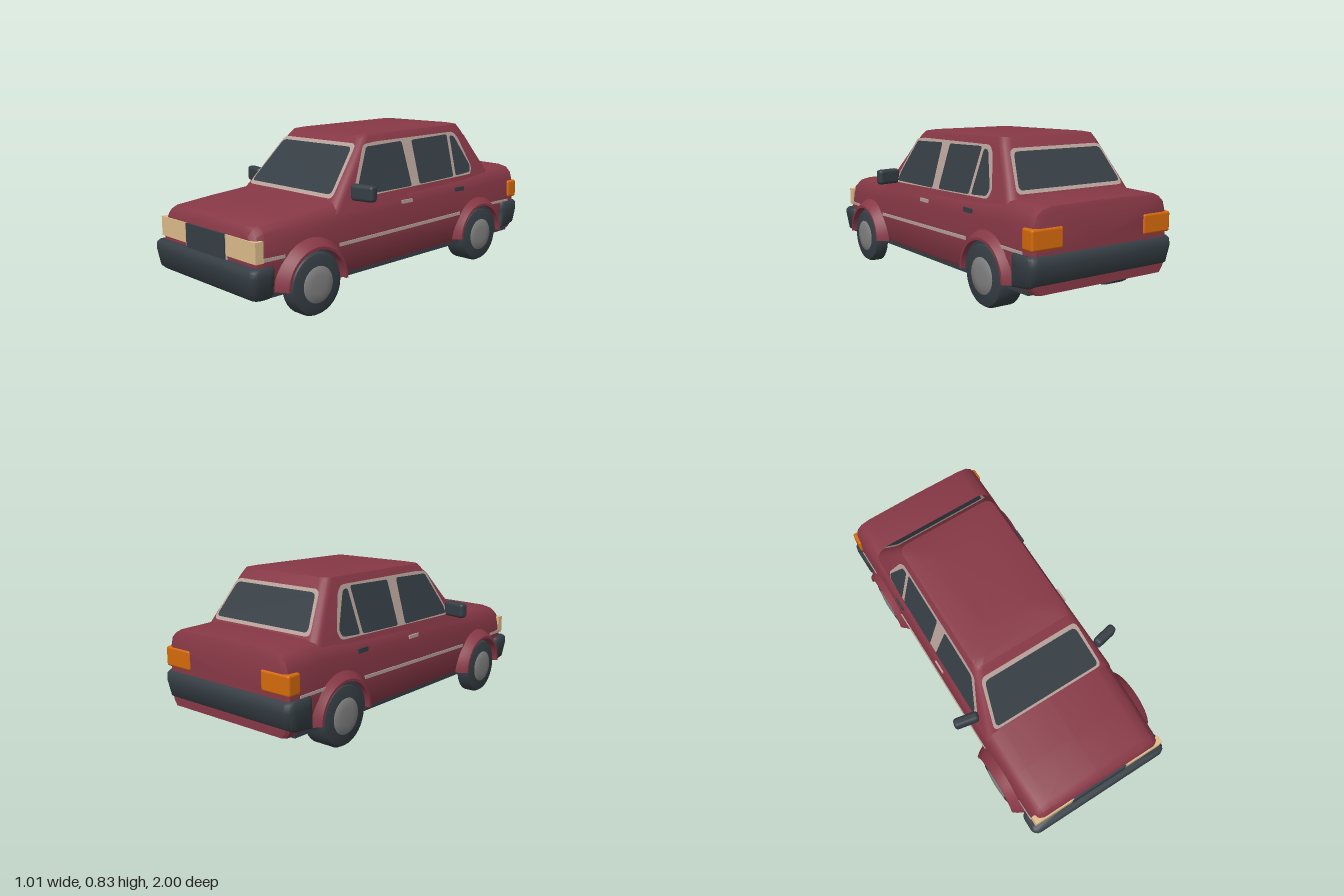
import * as THREE from 'three';
import { toCreasedNormals } from 'three/addons/utils/BufferGeometryUtils.js';
import { RoundedBoxGeometry } from 'three/addons/geometries/RoundedBoxGeometry.js';

const paint = (name, color) => {
  const m = new THREE.MeshStandardMaterial({ color, side: THREE.DoubleSide });
  m.name = name;
  return m;
};

// Skin a stack of closed rings and cap both ends
function loft(rings, crease = 0.6) {
  const n = rings[0].length, pos = rings.flat(2), idx = [];
  for (let k = 0; k < rings.length - 1; k++)
    for (let i = 0; i < n; i++) {
      const j = (i + 1) % n, a = k * n, b = a + n;
      idx.push(a + i, a + j, b + j, a + i, b + j, b + i);
    }
  [rings[0], rings.at(-1)].forEach((ring, end) => {
    const c = pos.length / 3, base = end ? (rings.length - 1) * n : 0;
    for (let d = 0; d < 3; d++) pos.push(ring.reduce((s, p) => s + p[d], 0) / n);
    for (let i = 0; i < n; i++) {
      const j = (i + 1) % n;
      idx.push(c, base + (end ? i : j), base + (end ? j : i));
    }
  });
  const g = new THREE.BufferGeometry();
  g.setAttribute('position', new THREE.Float32BufferAttribute(pos, 3));
  g.setIndex(idx);
  return toCreasedNormals(g, crease);
}

// Horizontal rounded rectangle; yFront and yRear let it tilt
function ring(yFront, hw, zFront, zRear, r, yRear = yFront) {
  const pts = [];
  for (let c = 0; c < 4; c++)
    for (let k = 0; k <= 4; k++) {
      const a = (c + k / 4) * Math.PI / 2;
      const x = (c < 2 ? 1 : -1) * (hw - r) + r * Math.sin(a);
      const z = (c === 0 || c === 3 ? zFront - r : zRear + r) + r * Math.cos(a);
      pts.push([x, yFront + (yRear - yFront) * (zFront - z) / (zFront - zRear), z]);
    }
  return pts;
}

// Body cross-section: sill, flank, rounded shoulder, bonnet or boot lid
function section(z, top, w) {
  const b = 0.135 + (0.9 - z) * 0.02;
  const half = [[w - 0.03, b], [w - 0.01, b + 0.03], [w, 0.31], [w - 0.01, top - 0.09],
    [w - 0.025, top - 0.04], [w - 0.055, top - 0.012], [w - 0.11, top]];
  const left = half.slice().reverse().map(([x, y]) => [-x, y]);
  return [[0, b], ...half, [0, top + 0.005], ...left].map(([x, y]) => [x, y, z]);
}

// Planes of the cabin
const sideX = y => 0.378 - (y - 0.52) * 0.3;
const frontZ = y => 0.45 - (y - 0.52) * 0.862;
const rearZ = y => -0.783 + (y - 0.52) * 0.654;

// Flat polygon with softened corners, moved onto a plane by a mapping rule
function plate(points, r, map) {
  const pts = points.map(p => new THREE.Vector2(...p)), n = pts.length;
  const shape = new THREE.Shape();
  pts.forEach((p, i) => {
    const toward = q => p.clone().lerp(q, Math.min(0.45, r / p.distanceTo(q)));
    const s = toward(pts[(i + n - 1) % n]), e = toward(pts[(i + 1) % n]);
    i ? shape.lineTo(s.x, s.y) : shape.moveTo(s.x, s.y);
    shape.quadraticCurveTo(p.x, p.y, e.x, e.y);
  });
  const g = new THREE.ShapeGeometry(shape, 4), v = g.attributes.position;
  for (let i = 0; i < v.count; i++) v.setXYZ(i, ...map(v.getX(i), v.getY(i)));
  g.computeVertexNormals();
  return g;
}

export function createModel() {
  const red = paint('bodyRed', 0x873846);
  const dark = paint('charcoal', 0x363f45);
  const silver = paint('trimSilver', 0xb7a29a);
  const cream = paint('lampCream', 0xdebd8b);
  const orange = paint('lampOrange', 0xd46a0c);
  const grey = paint('hubGrey', 0x828282);

  const car = new THREE.Group();
  car.name = 'car';
  const add = (name, geo, mat, x = 0, y = 0, z = 0, parent = car) => {
    const m = new THREE.Mesh(geo, mat);
    m.name = name;
    m.position.set(x, y, z);
    parent.add(m);
    return m;
  };

  // Lower body, rear to front
  add('lowerBody', loft([
    [-0.98, 0.53, 0.39], [-0.968, 0.558, 0.405], [-0.93, 0.565, 0.41], [-0.75, 0.568, 0.41],
    [-0.5, 0.55, 0.41], [0.2, 0.53, 0.41], [0.46, 0.515, 0.41], [0.7, 0.492, 0.41],
    [0.9, 0.47, 0.405], [0.935, 0.455, 0.4], [0.955, 0.425, 0.39],
  ].map(s => section(...s))), red);
  add('floor', new THREE.BoxGeometry(0.78, 0.02, 1.86), dark, 0, 0.156, 0).rotation.x = 0.02;

  // Cabin and roof
  const cabinRing = y => ring(y, sideX(y), frontZ(y), rearZ(y), 0.045);
  add('cabin', loft([
    cabinRing(0.46), cabinRing(0.6), cabinRing(0.79),
    ring(0.81, 0.283, 0.2, -0.58, 0.045, 0.826),
    ring(0.818, 0.25, 0.16, -0.545, 0.04, 0.833),
    ring(0.824, 0.12, 0.05, -0.42, 0.04, 0.834),
  ]), red);

  // Windscreen and rear window
  const trapezoid = (xb, yb, xt, yt) => [[-xb, yb], [xb, yb], [xt, yt], [-xt, yt]];
  const onFront = off => (x, y) => [x, y, frontZ(y) + off];
  const onRear = off => (x, y) => [x, y, rearZ(y) - off];
  add('windscreenFrame', plate(trapezoid(0.34, 0.522, 0.285, 0.772), 0.03, onFront(0.008)), silver);
  add('windscreen', plate(trapezoid(0.322, 0.54, 0.272, 0.756), 0.025, onFront(0.014)), dark);
  add('rearWindowFrame', plate(trapezoid(0.325, 0.58, 0.275, 0.778), 0.03, onRear(0.007)), silver);
  add('rearWindow', plate(trapezoid(0.308, 0.597, 0.262, 0.763), 0.025, onRear(0.012)), dark);

  const sideFrame = [[0.338, 0.515], [0.328, 0.57], [0.215, 0.768], [0.13, 0.776],
    [-0.5, 0.787], [-0.535, 0.755], [-0.605, 0.585], [-0.585, 0.543]];
  const sideGlass = {
    frontDoorGlass: [[0.318, 0.526], [0.308, 0.572], [0.2, 0.756], [-0.065, 0.766], [-0.075, 0.532]],
    rearDoorGlass: [[-0.138, 0.535], [-0.142, 0.766], [-0.44, 0.776], [-0.425, 0.545]],
    quarterGlass: [[-0.447, 0.547], [-0.463, 0.768], [-0.5, 0.762], [-0.59, 0.59], [-0.575, 0.556]],
  };
  const wheels = [
    { end: 'front', y: 0.155, z: 0.64, inner: 0.375, outer: 0.45, flare: 0.458 },
    { end: 'rear', y: 0.19, z: -0.62, inner: 0.305, outer: 0.43, flare: 0.44 },
  ];
  // Part turned about the wheel axle
  const axleLathe = (pts, start = 0, length = Math.PI * 2) => toCreasedNormals(
    new THREE.LatheGeometry(pts.map(p => new THREE.Vector2(...p)), 32, start, length)
      .rotateZ(-Math.PI / 2), 0.7);

  for (const s of [1, -1]) {
    const side = s > 0 ? 'left' : 'right';
    const onSide = off => (z, y) => [s * (sideX(y) + off), y, z];

    // Side windows
    add(side + 'WindowFrame', plate(sideFrame, 0.02, onSide(0.004)), silver);
    for (const [name, pts] of Object.entries(sideGlass))
      add(side + '_' + name, plate(pts, 0.015, onSide(0.008)), dark);

    // Side trim strips and door handles
    const strip = (name, z0, z1, y, h, x, mat) => add(side + name,
      new THREE.BoxGeometry(0.009, h, z0 - z1), mat, s * x, y, (z0 + z1) / 2);
    strip('SideTrim', 0.47, -0.45, 0.323, 0.017, 0.409, silver).rotation.x = 0.028;
    strip('FrontWingTrim', 0.92, 0.8, 0.313, 0.016, 0.404, silver);
    strip('RearWingTrim', -0.74, -0.91, 0.353, 0.014, 0.407, silver);
    strip('FrontHandle', 0.02, -0.06, 0.46, 0.018, 0.4, silver);
    strip('RearHandle', -0.415, -0.49, 0.473, 0.022, 0.4, dark);

    // Lamps and mirror
    add(side + 'Headlight', new THREE.BoxGeometry(0.228, 0.1, 0.044), cream, s * 0.289, 0.35, 0.94);
    add(side + 'TailLight', new RoundedBoxGeometry(0.175, 0.1, 0.078, 2, 0.012), orange,
      s * 0.328, 0.42, -0.948);
    add(side + 'Mirror', new RoundedBoxGeometry(0.135, 0.082, 0.05, 3, 0.018), dark,
      s * 0.438, 0.55, 0.335).rotation.y = s * 0.2;

    // Wheels, arch liners and flared arches
    for (const w of wheels) {
      const g = new THREE.Group();
      g.name = side + '_' + w.end + 'Wheel';
      g.position.set(0, w.y, w.z);
      g.rotation.y = s > 0 ? 0 : Math.PI;
      car.add(g);
      const o = w.outer, f = w.flare;
      add('tyre', axleLathe([[0, w.inner], [0.155, w.inner], [0.155, o - 0.025],
        [0.145, o - 0.008], [0.12, o], [0, o]]), dark, 0, 0, 0, g);
      add('hub', axleLathe([[0.092, o - 0.002], [0.085, o + 0.004], [0.045, o + 0.008],
        [0, o + 0.009]]), grey, 0, 0, 0, g);
      add('archLiner', new THREE.CircleGeometry(0.168, 24, 0, Math.PI).rotateY(Math.PI / 2),
        dark, 0.414, 0, 0, g);
      add('archFlare', axleLathe([[0.22, 0.4], [0.198, f - 0.02], [0.182, f], [0.169, f],
        [0.166, 0.4]], Math.PI, Math.PI), red, 0, 0, 0, g);
    }
  }

  // Grille
  add('grilleSurround', new THREE.BoxGeometry(0.354, 0.12, 0.03), silver, 0, 0.34, 0.945);
  add('grille', new THREE.BoxGeometry(0.33, 0.125, 0.03), dark, 0, 0.338, 0.951);

  // Bumpers
  add('frontBumper', loft([
    ring(0.13, 0.4, 0.965, 0.87, 0.03), ring(0.148, 0.418, 0.985, 0.86, 0.04),
    ring(0.24, 0.43, 1, 0.86, 0.04), ring(0.268, 0.43, 0.997, 0.86, 0.04),
    ring(0.28, 0.42, 0.985, 0.87, 0.035),
  ], 0.8), dark);
  add('rearBumper', loft([
    ring(0.182, 0.405, -0.8, -0.965, 0.03, 0.203), ring(0.2, 0.42, -0.82, -0.985, 0.04, 0.22),
    ring(0.3, 0.428, -0.83, -1, 0.04), ring(0.335, 0.428, -0.83, -0.997, 0.04),
    ring(0.348, 0.418, -0.84, -0.985, 0.035),
  ], 0.8), dark);

  return car;
}
